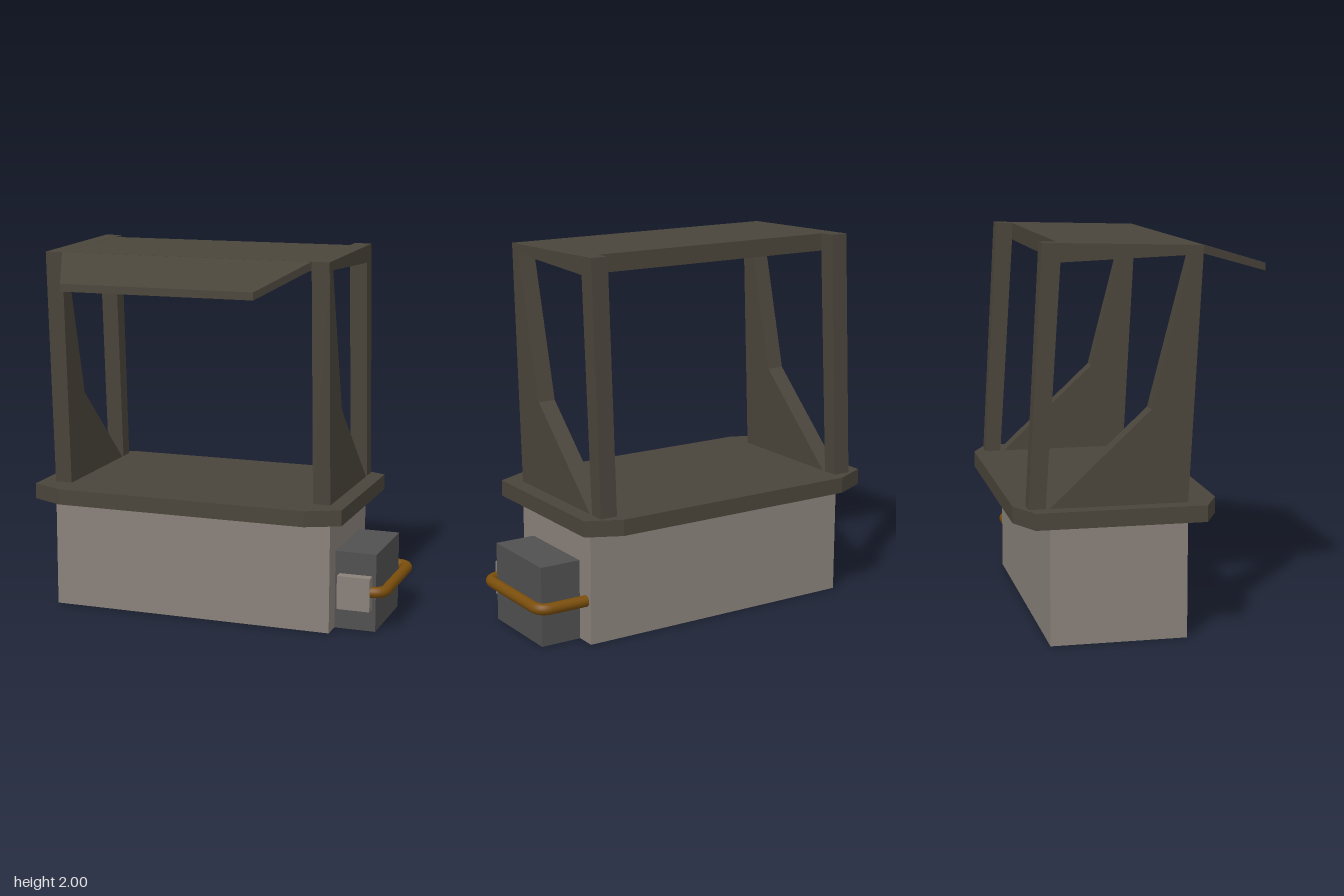
import * as THREE from 'three';

const MID = -0.11; // the booth is mirrored about this x

const mat = (color) => new THREE.MeshStandardMaterial({ color });

const outline = (pts) => new THREE.Shape(pts.map(([a, b]) => new THREE.Vector2(a, b)));

// Extrudes a (z, y) side profile across x0..x1
function sideExtrude(pts, x0, x1) {
  const g = new THREE.ExtrudeGeometry(outline(pts), { depth: x1 - x0, bevelEnabled: false });
  return g.rotateY(-Math.PI / 2).translate(x1, 0, 0);
}

// Box given by its limits on each axis
function box([x0, x1], [y0, y1], [z0, z1]) {
  return new THREE.BoxGeometry(x1 - x0, y1 - y0, z1 - z0)
    .translate((x0 + x1) / 2, (y0 + y1) / 2, (z0 + z1) / 2);
}

export function createModel() {
  const group = new THREE.Group();
  const wood = mat(0x4a453b);
  const stone = mat(0x8a827a);
  const metal = mat(0x505050);
  const copper = mat(0x7a4e0c);

  const add = (name, geometry, material) => {
    const mesh = new THREE.Mesh(geometry, material);
    mesh.name = name;
    group.add(mesh);
  };

  // Body below the counter
  add('body', box([-0.9, 0.68], [0, 0.62], [-0.5, 0.2]), stone);

  // Counter slab with cut corners
  const counter = outline([
    [-0.985, -0.28], [-0.805, -0.365], [0.585, -0.365], [0.765, -0.28],
    [0.765, 0.585], [0.585, 0.67], [-0.805, 0.67], [-0.985, 0.585],
  ]);
  add('counter', new THREE.ExtrudeGeometry(counter, { depth: 0.085, bevelEnabled: false })
    .rotateX(-Math.PI / 2).translate(0, 0.615, 0), wood);

  // Side frames: braced front post, roof rail and back post in one outline
  const frame = [
    [0.2, 0.7], [0.27, 1.977], [-0.53, 2], [-0.605, 0.7], [-0.52, 0.7],
    [-0.44, 1.905], [0.205, 1.93], [0.01, 1.175], [-0.5, 0.7],
  ];
  add('rightFrame', sideExtrude(frame, -0.9, -0.805), wood);
  add('leftFrame', sideExtrude(frame, 0.585, 0.68), wood);

  // Roof panel between the rails
  const roof = [[0.27, 1.977], [-0.44, 1.997], [-0.44, 1.905], [0.205, 1.93], [0.267, 1.93]];
  add('roof', sideExtrude(roof, -0.805, 0.585), wood);

  // Awning, narrowing toward its front edge
  const awning = sideExtrude([[0.267, 1.977], [0.267, 1.935], [0.667, 1.82], [0.667, 1.86]], MID - 1, MID + 1);
  const p = awning.attributes.position;
  for (let i = 0; i < p.count; i++) {
    const half = THREE.MathUtils.mapLinear(p.getZ(i), 0.267, 0.667, 0.695, 0.52);
    p.setX(i, MID + Math.sign(p.getX(i) - MID) * half);
  }
  awning.computeVertexNormals();
  add('awning', awning, wood);

  // Machine on the left side
  add('machineBox', box([0.68, 0.905], [0, 0.425], [-0.39, 0.09]), metal);
  add('pipeFitting', box([0.705, 0.885], [0.122, 0.305], [0.09, 0.145]), stone);

  // Bent pipe from the body around to the fitting
  const y = 0.225, xo = 0.95, zb = -0.455, zf = 0.115, r = 0.07;
  const v = (x, z) => new THREE.Vector3(x, y, z);
  const path = new THREE.CurvePath();
  path.add(new THREE.LineCurve3(v(0.66, zb), v(xo - r, zb)));
  path.add(new THREE.QuadraticBezierCurve3(v(xo - r, zb), v(xo, zb), v(xo, zb + r)));
  path.add(new THREE.LineCurve3(v(xo, zb + r), v(xo, zf - r)));
  path.add(new THREE.QuadraticBezierCurve3(v(xo, zf - r), v(xo, zf), v(xo - r, zf)));
  path.add(new THREE.LineCurve3(v(xo - r, zf), v(0.84, zf)));
  add('pipe', new THREE.TubeGeometry(path, 80, 0.03, 16), copper);

  return group;
}
